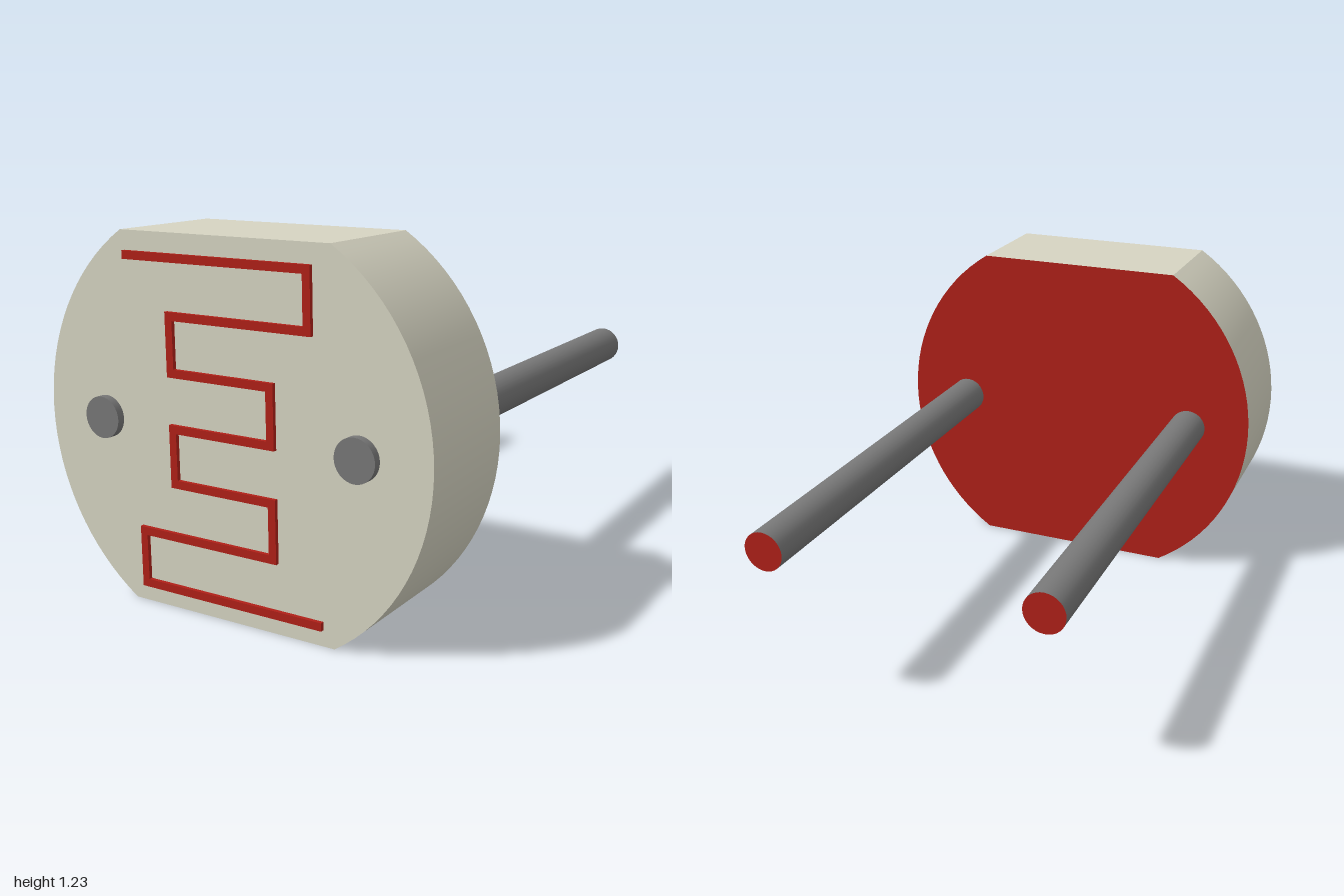
import * as THREE from 'three';
import { toCreasedNormals } from 'three/addons/utils/BufferGeometryUtils.js';

const CENTER_X = -0.002;
const CENTER_Y = 0.615;

const paint = (color) => new THREE.MeshStandardMaterial({ color });

function extrude(shape, zBack, zFront) {
  const geometry = new THREE.ExtrudeGeometry(shape, {
    depth: zFront - zBack, bevelEnabled: false, curveSegments: 16,
  });
  return geometry.translate(0, 0, zBack);
}

// Disc with its top and bottom cut flat
function discShape(radius, halfHeight) {
  const a = Math.asin(halfHeight / radius);
  const shape = new THREE.Shape();
  shape.absarc(CENTER_X, CENTER_Y, radius, -a, a, false);
  shape.absarc(CENTER_X, CENTER_Y, radius, Math.PI - a, Math.PI + a, false);
  shape.closePath();
  return shape;
}

// Band of constant width with mitred right-angle corners
function bandShape(path, width) {
  const normals = path.slice(1).map((p, i) => {
    const d = p.clone().sub(path[i]).normalize();
    return new THREE.Vector2(-d.y, d.x);
  });
  const side = (s) => path.map((p, i) => {
    const offset = new THREE.Vector2();
    if (i > 0) offset.add(normals[i - 1]);
    if (i < normals.length) offset.add(normals[i]);
    return p.clone().addScaledVector(offset, s * width / 2);
  });
  return new THREE.Shape([...side(1), ...side(-1).reverse()]);
}

export function createModel() {
  const group = new THREE.Group();
  const ceramic = paint(0xd6d4c2);
  const red = paint(0xb02018);
  const metal = paint(0x777777);

  const add = (name, geometry, material) => {
    const mesh = new THREE.Mesh(geometry, material);
    mesh.name = name;
    group.add(mesh);
    return mesh;
  };

  // Ceramic body: the first half of the lid faces is the red back
  const body = extrude(discShape(0.73, 0.615), 0.545, 0.973);
  const lidCount = body.groups[0].count;
  const bodyGeometry = toCreasedNormals(body, 0.4);
  bodyGeometry.clearGroups();
  bodyGeometry.addGroup(0, lidCount / 2, 1);
  bodyGeometry.addGroup(lidCount / 2, bodyGeometry.attributes.position.count - lidCount / 2, 0);
  add('body', bodyGeometry, [ceramic, red]);

  // Meandering track just in front of the face: rows joined at turning points
  const turns = [-0.368, 0.325, -0.19, 0.187, -0.19, 0.187, -0.328, 0.362];
  const path = [];
  for (let row = 0; row < 7; row++) {
    const y = 1.155 - row * 0.18;
    path.push(new THREE.Vector2(turns[row], y), new THREE.Vector2(turns[row + 1], y));
  }
  add('track', extrude(bandShape(path, 0.027), 0.987, 1), red);

  // Two long leads through the body, with red rear ends
  for (const [name, s] of [['leftLead', 1], ['rightLead', -1]]) {
    const rod = new THREE.CylinderGeometry(0.07, 0.07, 2, 32).rotateX(Math.PI / 2);
    add(name, rod, [metal, metal, red]).position.set(CENTER_X + s * 0.485, CENTER_Y, 0);
  }

  return group;
}
